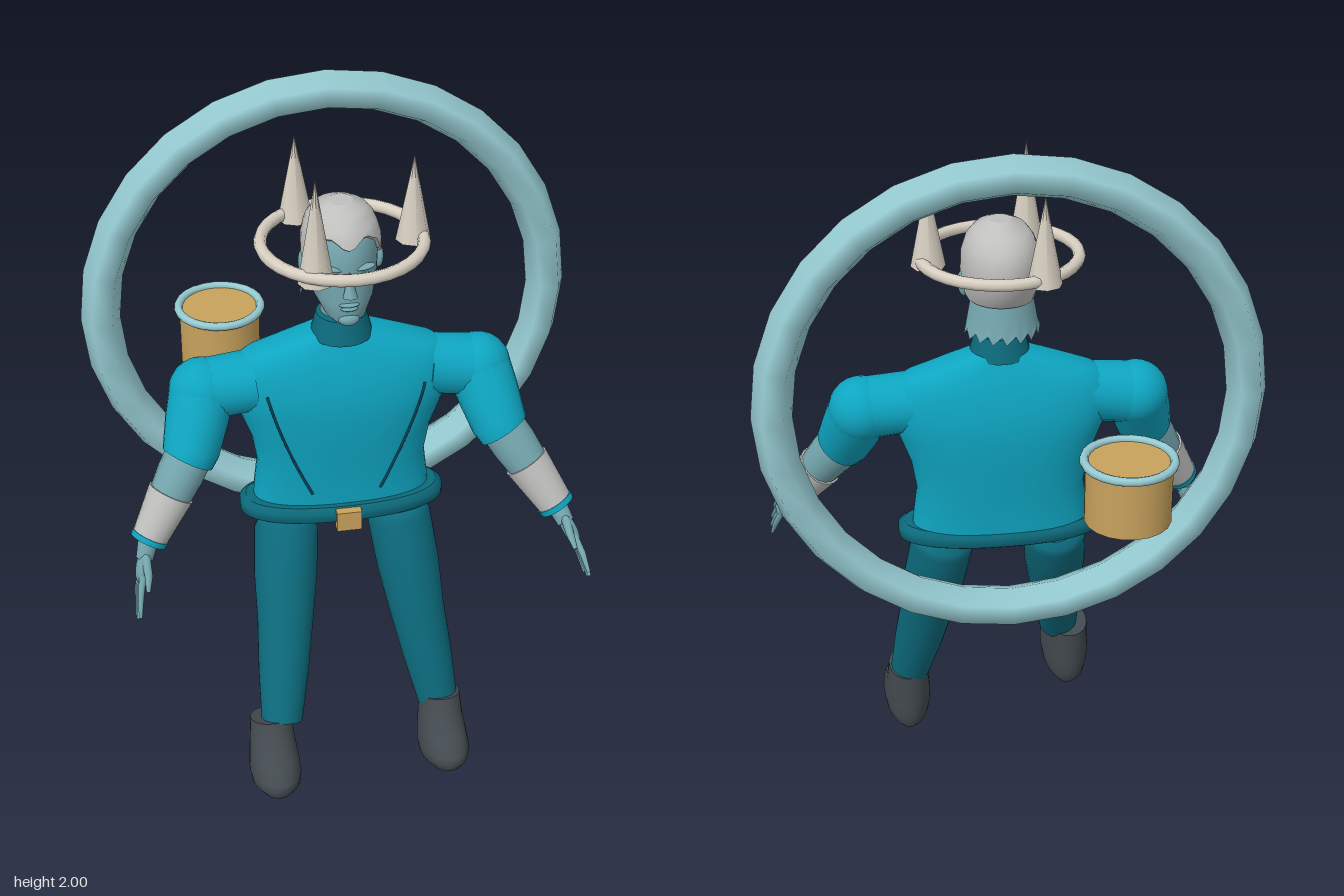
import * as THREE from 'three';

const mat = (name, color, side = THREE.FrontSide) => {
  const m = new THREE.MeshStandardMaterial({ color, side });
  m.name = name;
  return m;
};
const V = (x, y, z) => new THREE.Vector3(x, y, z);

// Skin over a stack of closed rings; capped ends have hard edges
function loft(rings, caps = true) {
  const n = rings[0].length, pos = [], idx = [];
  rings.forEach(r => r.forEach(p => pos.push(p.x, p.y, p.z)));
  for (let i = 0; i < rings.length - 1; i++) for (let j = 0; j < n; j++) {
    const a = i * n + j, b = i * n + (j + 1) % n;
    idx.push(a, b, b + n, a, b + n, a + n);
  }
  if (caps) [0, rings.length - 1].forEach((k, top) => {
    const start = pos.length / 3, c = V(0, 0, 0);
    rings[k].forEach(p => { pos.push(p.x, p.y, p.z); c.addScaledVector(p, 1 / n); });
    pos.push(c.x, c.y, c.z);
    for (let j = 0; j < n; j++) {
      const a = start + j, b = start + (j + 1) % n;
      idx.push(start + n, top ? a : b, top ? b : a);
    }
  });
  const g = new THREE.BufferGeometry();
  g.setAttribute('position', new THREE.Float32BufferAttribute(pos, 3));
  g.setIndex(idx);
  g.computeVertexNormals();
  return g;
}

// Horizontal superellipse ring
const oval = (y, w, d, zc = 0, e = 2, n = 32) => Array.from({ length: n }, (_, j) => {
  const t = j / n * Math.PI * 2, s = Math.sin(t), c = Math.cos(t);
  return V(w * Math.sign(s) * Math.abs(s) ** (2 / e), y, zc + d * Math.sign(c) * Math.abs(c) ** (2 / e));
});

// Round limb through [point, radius] pairs
function limb(list, n = 16) {
  return loft(list.map(([p, r], i) => {
    const t = list[Math.min(i + 1, list.length - 1)][0].clone().sub(list[Math.max(i - 1, 0)][0]).normalize();
    const x = t.clone().cross(V(0, 0, 1)).normalize(), z = x.clone().cross(t);
    return Array.from({ length: n }, (_, j) => {
      const a = j / n * Math.PI * 2;
      return p.clone().addScaledVector(x, r * Math.sin(a)).addScaledVector(z, r * Math.cos(a));
    });
  }));
}

// Linear lookup in rows keyed by their first number
function sample(rows, y) {
  let i = 0;
  while (i < rows.length - 2 && y > rows[i + 1][0]) i++;
  const a = rows[i], b = rows[i + 1], t = THREE.MathUtils.clamp((y - a[0]) / (b[0] - a[0]), 0, 1);
  return a.map((v, k) => v + (b[k] - v) * t);
}

export function createModel() {
  const root = new THREE.Group();
  const M = {
    suit: mat('suit teal', 0x0ea5c1), dark: mat('dark teal', 0x0c6a7c),
    skin: mat('blue skin', 0x74a6ae, THREE.DoubleSide), pale: mat('pale blue', 0x96cbd2),
    grey: mat('silver grey', 0xbfbfbe, THREE.DoubleSide), bone: mat('bone', 0xd8d0c2),
    gold: mat('gold', 0xc8a25d), boot: mat('charcoal', 0x434a4f),
    brown: mat('brown', 0x7d5f4e), line: mat('seam blue', 0x0b4257),
  };
  const add = (name, geo, m, parent = root) => {
    const o = new THREE.Mesh(geo, m);
    o.name = name;
    parent.add(o);
    return o;
  };

  // Large ring behind the back
  const halo = add('backRing', new THREE.TorusGeometry(0.626, 0.054, 6, 28), M.pale);
  halo.position.set(0, 1.32, -0.24);
  halo.scale.z = 1.25;

  // Bucket behind the ring
  add('bucket', new THREE.CylinderGeometry(0.115, 0.115, 0.17, 20), M.gold).position.set(-0.28, 1.135, -0.415);
  const rim = add('bucketRim', new THREE.TorusGeometry(0.118, 0.012, 8, 24).rotateX(Math.PI / 2), M.pale);
  rim.position.set(-0.28, 1.222, -0.415);

  // Torso: height, half width, half depth
  const body = [[0.82, 0.25, 0.1], [0.88, 0.245, 0.1], [0.96, 0.235, 0.105], [1.05, 0.25, 0.115], [1.13, 0.28, 0.12],
    [1.2, 0.31, 0.118], [1.27, 0.315, 0.1], [1.31, 0.26, 0.086], [1.345, 0.16, 0.07], [1.37, 0.08, 0.06]];
  add('torso', loft(body.map(([y, w, d]) => oval(y, w, d, -0.01, 2.4, 48))), M.suit);
  add('belt', loft([[0.8, 0.27, 0.105], [0.81, 0.288, 0.12], [0.838, 0.288, 0.12], [0.85, 0.27, 0.105]]
    .map(([y, w, d]) => oval(y, w, d, 0, 2.3, 48))), M.dark);
  add('hipPlate', loft([oval(0.794, 0.25, 0.095), oval(0.802, 0.25, 0.095)]), M.brown);
  add('buckle', new THREE.BoxGeometry(0.07, 0.06, 0.025), M.gold).position.set(0, 0.818, 0.123);
  add('collar', new THREE.CylinderGeometry(0.068, 0.085, 0.065, 24), M.dark).position.set(0, 1.387, 0);

  // Curved chest seams lying on the torso
  for (const s of [-1, 1]) {
    const pts = Array.from({ length: 12 }, (_, i) => {
      const t = i / 11, y = 1.22 - 0.33 * t, x = 0.215 - 0.08 * t - 0.04 * t * t;
      const [, w, d] = sample(body, y);
      return V(s * x, y, -0.01 + d * (1 - (x / w) ** 2.4) ** (1 / 2.4));
    });
    add('chestSeam', new THREE.TubeGeometry(new THREE.CatmullRomCurve3(pts), 24, 0.004, 6), M.line);
  }

  // Head: height, half width, front z, back z
  const skull = [[1.435, 0.03, 0.105, 0.04], [1.455, 0.054, 0.122, -0.01], [1.5, 0.079, 0.122, -0.075],
    [1.55, 0.091, 0.12, -0.115], [1.6, 0.095, 0.12, -0.135], [1.65, 0.093, 0.116, -0.135],
    [1.69, 0.08, 0.095, -0.115], [1.72, 0.055, 0.06, -0.08], [1.735, 0.02, 0.015, -0.03]];
  const headPoint = (y, t, off) => {
    const [, w, f, b] = sample(skull, y);
    return V((w + off) * Math.sin(t), y, (f + b) / 2 + ((f - b) / 2 + off) * Math.cos(t));
  };
  const headRing = fn => Array.from({ length: 40 }, (_, j) => fn(j / 40 * Math.PI * 2));
  const head = new THREE.Group();
  head.name = 'head';
  root.add(head);
  add('face', loft(skull.map(([y]) => headRing(t => headPoint(y, t, 0)))), M.skin, head);
  add('neck', new THREE.CylinderGeometry(0.053, 0.056, 0.16, 20), M.skin, head).position.set(0, 1.45, -0.01);
  const nose = add('nose', new THREE.ConeGeometry(0.02, 0.075, 8), M.skin, head);
  nose.position.set(0, 1.568, 0.125);
  nose.rotation.x = -0.2;
  const blob = (name, m, p, s) => {
    const o = add(name, new THREE.SphereGeometry(1, 16, 10), m, head);
    o.position.set(...p);
    o.scale.set(...s);
    return o;
  };
  blob('upperLip', M.skin, [0, 1.503, 0.12], [0.027, 0.006, 0.011]);
  blob('lowerLip', M.skin, [0, 1.491, 0.119], [0.023, 0.006, 0.011]);
  blob('chin', M.skin, [0, 1.457, 0.113], [0.028, 0.018, 0.018]);
  for (const s of [-1, 1]) {
    blob('brow', M.skin, [s * 0.042, 1.605, 0.108], [0.028, 0.007, 0.014]).rotation.z = s * 0.2;
    blob('eye', M.skin, [s * 0.04, 1.582, 0.105], [0.018, 0.007, 0.012]);
    blob('ear', M.skin, [s * 0.1, 1.57, -0.015], [0.012, 0.036, 0.022]).rotation.y = s * 0.35;
  }

  // Hair cap, low at the back and high over the forehead
  const hairRows = 9;
  add('hair', loft(Array.from({ length: hairRows }, (_, i) => headRing(t => {
    const c = Math.cos(t);
    const low = c > 0.55 ? 1.672 - 0.012 * Math.cos(t * 6) : THREE.MathUtils.lerp(1.52, 1.63, THREE.MathUtils.smoothstep(c, -0.7, 0.55));
    const y = low + (1.735 - low) * i / (hairRows - 1);
    return headPoint(y, t, 0.011).add(V(0, 0.008 * i / (hairRows - 1), 0));
  }))), M.grey, head);

  // Ragged hair at the nape
  const nape = new THREE.CylinderGeometry(0.086, 0.104, 0.1, 24, 3, true, Math.PI * 0.54, Math.PI * 0.92);
  const np = nape.attributes.position;
  for (let i = 0; i < np.count; i++) if (np.getY(i) < -0.04) np.setY(i, np.getY(i) + (i % 3) * 0.012);
  nape.computeVertexNormals();
  const tufts = add('napeHair', nape, M.skin, head);
  tufts.position.set(0, 1.485, -0.035);

  // Floating crown with three spikes
  const crown = add('crownRing', new THREE.TorusGeometry(0.213, 0.017, 8, 32).rotateX(Math.PI / 2), M.bone);
  crown.position.set(0, 1.635, 0.012);
  for (let k = 0; k < 3; k++) {
    const a = k * Math.PI * 2 / 3, h = k === 1 ? 0.285 : 0.24;
    const spike = add('crownSpike', new THREE.ConeGeometry(0.047, h, 8), M.bone);
    spike.position.set(0.19 * Math.cos(a), (k === 1 ? 1.605 : 1.617) + h / 2, 0.19 * Math.sin(a));
  }

  // Arms: shoulder, elbow, wrist and fingertip of each side
  const arms = [
    ['left', 1, V(0.38, 1.21, 0), V(0.425, 1.07, 0.09), V(0.575, 0.845, 0.2), V(0.655, 0.69, 0.33)],
    ['right', -1, V(-0.38, 1.21, 0), V(-0.425, 1.07, 0.08), V(-0.56, 0.845, 0.16), V(-0.62, 0.64, 0.23)],
  ];
  for (const [side, s, S, E, W, H] of arms) {
    const arm = new THREE.Group();
    arm.name = side + 'Arm';
    root.add(arm);
    const at = t => E.clone().lerp(W, t);
    add('shoulder', new THREE.SphereGeometry(0.09, 24, 16), M.suit, arm).position.copy(S);
    add('shoulderBridge', limb([[V(s * 0.24, 1.225, -0.005), 0.085], [S, 0.086]]), M.suit, arm);
    add('sleeve', limb([[S, 0.089], [S.clone().lerp(E, 0.5), 0.085], [E, 0.077], [at(0.08), 0.073]], 20), M.suit, arm);
    add('forearm', limb([[E, 0.064], [at(0.25), 0.064], [at(0.6), 0.055], [W, 0.036]]), M.skin, arm);
    add('cuff', limb([[at(0.46), 0.064], [at(0.94), 0.05]], 20), M.grey, arm);
    add('cuffBand', limb([[at(0.94), 0.053], [at(1), 0.051]], 20), M.suit, arm);

    // Flat hand with spread fingers
    const hand = new THREE.Group(), dir = H.clone().sub(W), L = dir.length();
    hand.name = side + 'Hand';
    hand.position.copy(W);
    hand.quaternion.setFromUnitVectors(V(0, -1, 0), dir.normalize());
    arm.add(hand);
    add('wrist', limb([[V(0, 0.02, 0), 0.03], [V(0, -0.05, 0), 0.024]], 12), M.skin, hand);
    const palm = add('palm', new THREE.SphereGeometry(1, 16, 12), M.skin, hand);
    palm.position.y = -0.07;
    palm.scale.set(0.02, 0.052, 0.038);
    for (let f = -1.5; f < 2; f++) {
      const len = L - 0.012 * Math.abs(f);
      add('finger', limb([[V(0, -0.09, f * 0.016), 0.01], [V(-s * 0.004, -0.145, f * 0.024), 0.009],
        [V(-s * 0.014, -len, f * 0.028), 0.005]], 8), M.skin, hand);
    }
    add('thumb', limb([[V(0, -0.045, 0.022), 0.013], [V(-s * 0.012, -0.085, 0.05), 0.011],
      [V(-s * 0.018, -0.125, 0.06), 0.006]], 8), M.skin, hand);
  }

  // Legs and boots, posed separately
  const legs = [
    ['left', V(0.16, 0.755, 0.035), V(0.2, 0.48, 0.125), V(0.25, 0.2, 0.21), V(0.255, 0.003, 0.17), 0.29],
    ['right', V(-0.165, 0.755, 0.04), V(-0.19, 0.52, 0.165), V(-0.225, 0.27, 0.305), V(-0.255, 0.06, 0.262), 0.33],
  ];
  const bootRows = [[0, 0.115, 0.05, 0.112], [0.02, 0.122, 0.067, 0.128], [0.05, 0.126, 0.072, 0.13],
    [0.09, 0.112, 0.069, 0.108], [0.13, 0.098, 0.064, 0.08], [0.2, 0.1, 0.058, 0.066]];
  for (const [side, hip, knee, ankle, heel, tilt] of legs) {
    const up = hip.clone().sub(knee).normalize();
    add(side + 'Leg', limb([[hip.clone().addScaledVector(up, 0.035), 0.06], [hip.clone().addScaledVector(up, 0.02), 0.08],
      [hip, 0.09], [hip.clone().lerp(knee, 0.5), 0.089], [knee, 0.079], [knee.clone().lerp(ankle, 0.5), 0.071],
      [ankle, 0.058]], 24), M.dark);
    const boot = add(side + 'Boot', loft(bootRows.map(([y, z, w, l]) => oval(y, w, l, z, 2.1, 28))), M.boot);
    boot.position.copy(heel);
    boot.rotation.x = -tilt;
  }
  return root;
}
